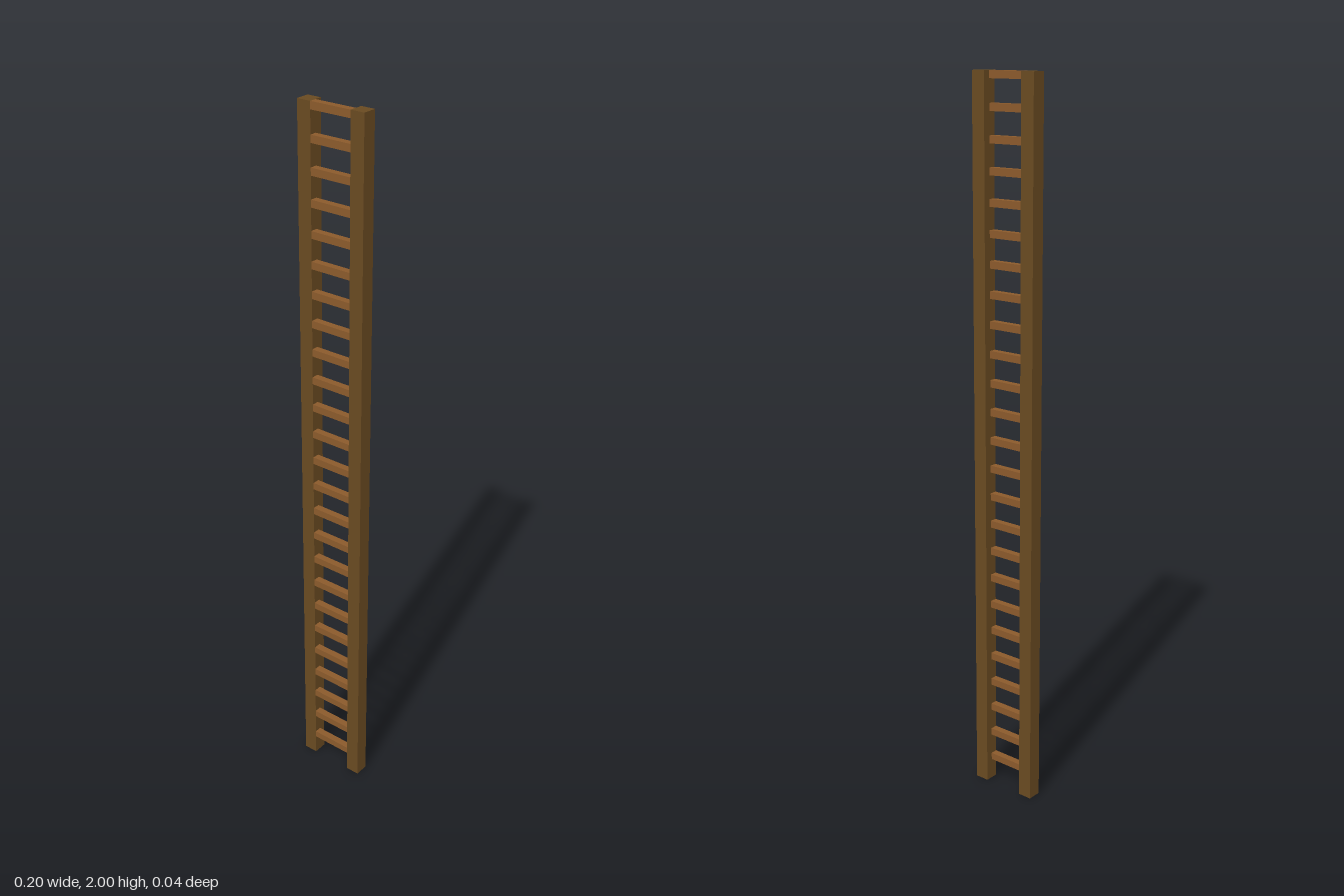
import * as THREE from 'three';

export function createModel() {
  const railWood = new THREE.MeshStandardMaterial({ color: 0x694a21 });
  railWood.name = 'dark brown wood';
  const rungWood = new THREE.MeshStandardMaterial({ color: 0x8b5a2b });
  rungWood.name = 'light brown wood';

  const ladder = new THREE.Group();
  ladder.name = 'ladder';

  // Two square upright rails
  const railGeometry = new THREE.BoxGeometry(0.04, 2, 0.04);
  for (const side of [-1, 1]) {
    const rail = new THREE.Mesh(railGeometry, railWood);
    rail.name = side > 0 ? 'leftRail' : 'rightRail';
    rail.position.set(side * 0.08, 1, 0);
    ladder.add(rail);
  }

  // Rungs, flush with the front of the rails; the top one is level with the rail tops
  const rungs = new THREE.Group();
  rungs.name = 'rungs';
  const rungGeometry = new THREE.BoxGeometry(0.12, 0.02, 0.02);
  for (let i = 0; i < 25; i++) {
    const rung = new THREE.Mesh(rungGeometry, rungWood);
    rung.name = `rung${i + 1}`;
    rung.position.set(0, 0.07 + i * 0.08, 0.01);
    rungs.add(rung);
  }
  ladder.add(rungs);

  return ladder;
}
